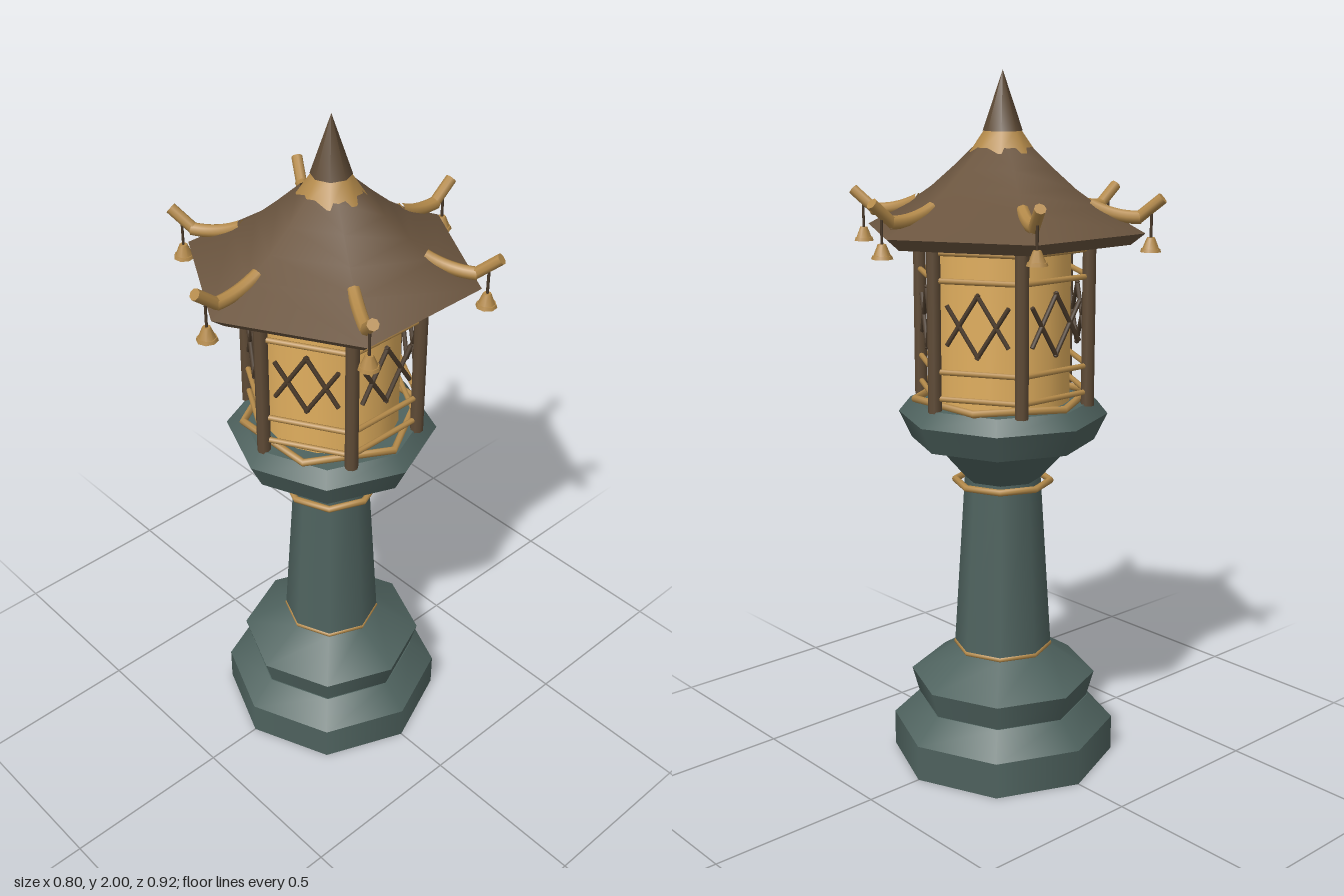
import * as THREE from 'three';

const mat = (name, color, side = THREE.FrontSide) => {
  const m = new THREE.MeshStandardMaterial({ color, side });
  m.name = name;
  return m;
};

export function createModel() {
  const root = new THREE.Group();
  const stone = mat('stone', 0x4f635f);
  const roofWood = mat('roofWood', 0x6b553f, THREE.DoubleSide);
  const wood = mat('postWood', 0x5f4b36);
  const darkWood = mat('latticeWood', 0x4a3a2a);
  const gold = mat('gold', 0xb48a4a);
  const paper = mat('glowingPanel', 0xe0ae5e);

  const add = (parent, name, geo, material) => {
    const mesh = new THREE.Mesh(geo, material);
    mesh.name = name;
    parent.add(mesh);
    return mesh;
  };
  // Upright cylinder between two heights
  const tier = (name, y0, y1, r0, r1, sides, material, parent = root) => {
    const mesh = add(parent, name, new THREE.CylinderGeometry(r1, r0, y1 - y0, sides), material);
    mesh.position.y = (y0 + y1) / 2;
    return mesh;
  };
  // Flat lying ring
  const ring = (name, y, radius, tube, sides) => {
    const mesh = add(root, name, new THREE.TorusGeometry(radius, tube, 8, sides), gold);
    mesh.rotation.x = Math.PI / 2;
    mesh.position.y = y;
  };
  // Round bar between two points
  const bar = (parent, name, a, b, radius, material) => {
    const d = b.clone().sub(a);
    const mesh = add(parent, name, new THREE.CylinderGeometry(radius, radius, d.length(), 8), material);
    mesh.position.copy(a).add(b).multiplyScalar(0.5);
    mesh.quaternion.setFromUnitVectors(new THREE.Vector3(0, 1, 0), d.normalize());
    return mesh;
  };
  const V = (x, y, z) => new THREE.Vector3(x, y, z);

  // Octagonal stone base, column and platform
  [
    ['baseSlab', 0, 0.105, 0.328, 0.328],
    ['baseSlope', 0.105, 0.175, 0.328, 0.255],
    ['upperBase', 0.175, 0.25, 0.252, 0.273],
    ['upperBaseSlope', 0.25, 0.335, 0.273, 0.14],
    ['column', 0.335, 0.86, 0.143, 0.11],
    ['platformFlare', 0.855, 0.97, 0.11, 0.215],
    ['platformLower', 0.97, 1.047, 0.263, 0.3],
    ['platformUpper', 1.047, 1.09, 0.3, 0.265],
  ].forEach(([name, y0, y1, r0, r1]) => tier(name, y0, y1, r0, r1, 8, stone));
  ring('lowerCollar', 0.34, 0.138, 0.008, 8);
  ring('upperCollar', 0.845, 0.138, 0.01, 8);
  ring('floorRing', 1.098, 0.253, 0.011, 6);

  // Glowing core
  tier('lanternCore', 1.09, 1.54, 0.193, 0.193, 20, paper);

  // Six posts and six screens
  const R = 0.25, apothem = R * Math.cos(Math.PI / 6);
  for (let i = 0; i < 6; i++) {
    const corner = new THREE.Group();
    corner.name = 'lanternCorner';
    corner.rotation.y = i * Math.PI / 3;
    root.add(corner);
    tier('post', 1.085, 1.55, 0.019, 0.019, 8, wood, corner).position.z = R;

    // Ridge horn with upturned tip
    const curve = new THREE.QuadraticBezierCurve3(V(0, 1.645, 0.25), V(0, 1.61, 0.32), V(0, 1.615, 0.392));
    add(corner, 'ridgeHorn', new THREE.TubeGeometry(curve, 8, 0.018, 8), gold);
    bar(corner, 'hornTip', V(0, 1.612, 0.382), V(0, 1.668, 0.45), 0.016, gold);
    const cap = add(corner, 'hornCap', new THREE.CircleGeometry(0.018, 8), gold);
    cap.position.set(0, 1.645, 0.25);
    cap.rotation.x = Math.PI;

    // Hanging bell
    tier('bellWire', 1.555, 1.625, 0.004, 0.004, 6, darkWood, corner).position.z = 0.42;
    tier('bell', 1.53, 1.562, 0.024, 0.011, 8, gold, corner).position.z = 0.42;
    tier('bellLip', 1.523, 1.532, 0.029, 0.026, 8, gold, corner).position.z = 0.42;

    // Rails and diamond lattice between posts
    const screen = new THREE.Group();
    screen.name = 'screen';
    screen.rotation.y = (i + 0.5) * Math.PI / 3;
    root.add(screen);
    for (const y of [1.125, 1.2, 1.45, 1.525]) {
      bar(screen, 'rail', V(-R / 2, y, apothem), V(R / 2, y, apothem), 0.008, gold);
    }
    for (const sx of [-1, 1]) for (const sy of [-1, 1]) {
      bar(screen, 'latticeBar', V(-sx * 0.003, 1.33 + sy * 0.088, apothem),
        V(sx * 0.088, 1.33 - sy * 0.055, apothem), 0.0065, darkWood);
    }
  }

  // Six-sided sweeping roof with bevelled eave
  const sweep = [[0.405, 1.572], [0.28, 1.638], [0.21, 1.685], [0.145, 1.74], [0.085, 1.795]]
    .map(([x, y]) => new THREE.Vector2(x, y));
  add(root, 'roof', new THREE.LatheGeometry(sweep, 6), roofWood);
  const eave = [[0, 1.54], [0.365, 1.54], [0.405, 1.572]].map(([x, y]) => new THREE.Vector2(x, y));
  add(root, 'eaveBevel', new THREE.LatheGeometry(eave.slice(1), 6), roofWood);
  add(root, 'eaveUnderside', new THREE.LatheGeometry(eave.slice(0, 2), 6), roofWood);

  // Finial
  tier('finialCollar', 1.78, 1.842, 0.092, 0.05, 8, gold);
  tier('finialSpire', 1.838, 2.0, 0.055, 0, 8, wood);
  return root;
}
